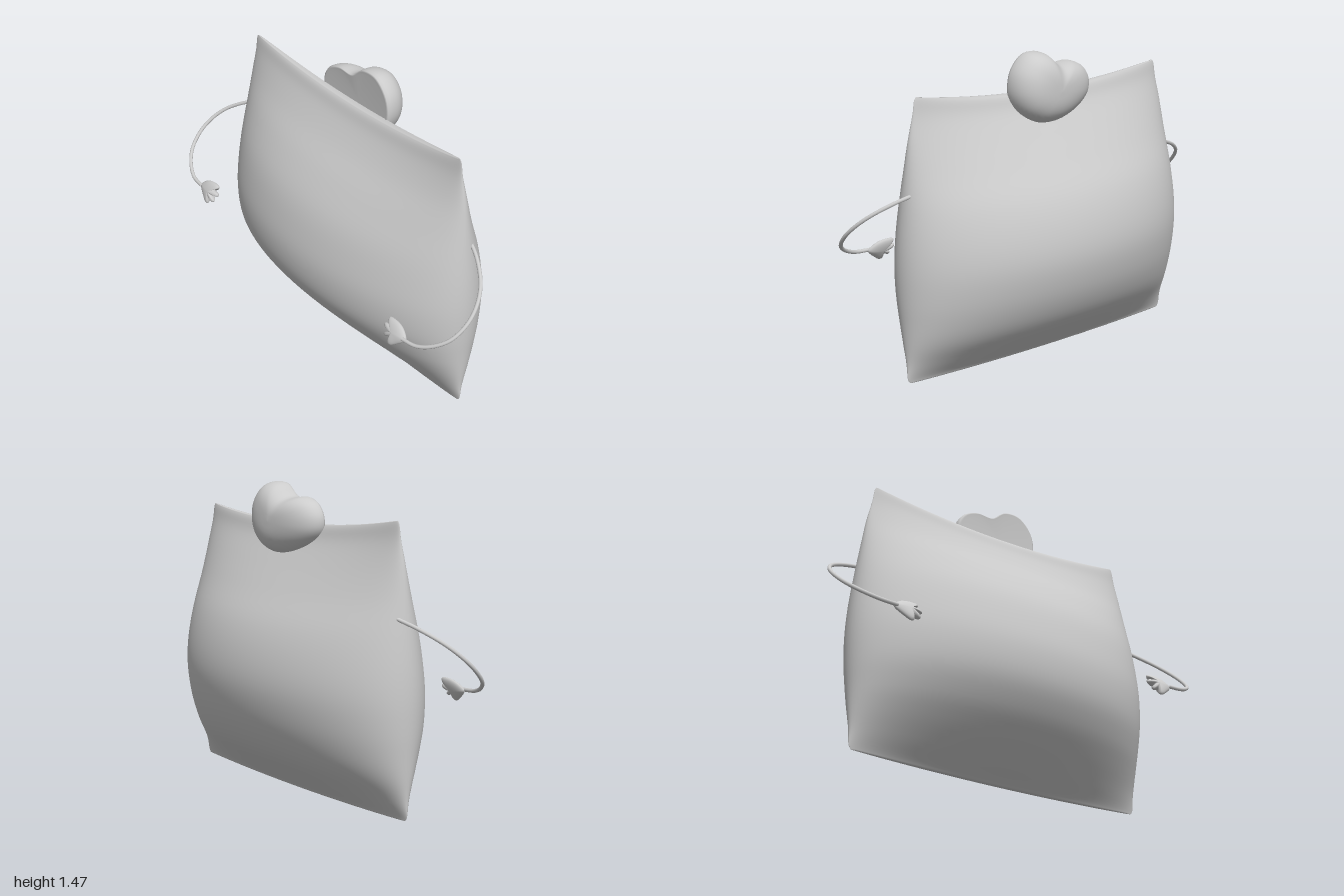
import * as THREE from 'three';

const material = new THREE.MeshStandardMaterial({ color: 0xcccccc });

// Skin a list of closed rings (arrays of Vector3) with smooth normals
function loft(rings) {
  const n = rings[0].length, index = [];
  for (let j = 0; j < rings.length - 1; j++) {
    for (let i = 0; i < n; i++) {
      const k = (i + 1) % n;
      const a = j * n + i, b = j * n + k, c = b + n, d = a + n;
      index.push(a, d, c, a, c, b);
    }
  }
  const geometry = new THREE.BufferGeometry().setFromPoints(rings.flat());
  geometry.setIndex(index);
  geometry.computeVertexNormals();
  return geometry;
}

function part(name, geometry) {
  const mesh = new THREE.Mesh(geometry, material);
  mesh.name = name;
  return mesh;
}

// Swell a counterclockwise outline: each layer is [scale, z], from front to back
function swell(outline, segments, layers, depth = () => 1) {
  const curve = new THREE.CatmullRomCurve3(outline.map(([x, y]) => new THREE.Vector3(x, y, 0)), true);
  const points = curve.getPoints(segments).slice(0, segments);
  return loft(layers.map(([s, z]) =>
    points.map(p => new THREE.Vector3(p.x * s, p.y * s, z * depth(p.x * s)))));
}

// Pillow: height, half width, front bulge, back bulge
const pillowRows = [
  [0.005, 0.775, 0.008, 0.008], [0.03, 0.788, 0.03, 0.03], [0.1, 0.79, 0.1, 0.11],
  [0.2, 0.797, 0.19, 0.215], [0.3, 0.803, 0.265, 0.285], [0.42, 0.81, 0.322, 0.335],
  [0.56, 0.812, 0.337, 0.36], [0.7, 0.805, 0.315, 0.345], [0.84, 0.79, 0.27, 0.295],
  [0.98, 0.77, 0.19, 0.205], [1.1, 0.75, 0.105, 0.125], [1.2, 0.725, 0.045, 0.06],
  [1.26, 0.715, 0.02, 0.035], [1.28, 0.705, 0.006, 0.022],
];

function pillowGeometry() {
  const curve = column => new THREE.CatmullRomCurve3(
    pillowRows.map(r => new THREE.Vector3(r[1], r[0], r[column])), false, 'catmullrom');
  const front = curve(2), back = curve(3), steps = 56, around = 96;
  const ring = (t, thickness) => {
    const f = front.getPoint(t), b = back.getPoint(t);
    return Array.from({ length: around }, (_, i) => {
      const angle = i / around * Math.PI * 2;
      const c = Math.cos(angle), s = Math.sin(angle);
      // top and bottom seams rise towards the corners
      const lift = 0.055 * THREE.MathUtils.smoothstep(f.y, 0.7, 1.28)
        + 0.015 * (1 - THREE.MathUtils.smoothstep(f.y, 0, 0.3));
      return new THREE.Vector3(0.01 + f.x * c, f.y + lift * c * c, (s > 0 ? f.z : b.z) * s * thickness);
    });
  };
  const rings = [ring(0, 0)];
  for (let j = 0; j <= steps; j++) rings.push(ring(j / steps, 1));
  rings.push(ring(1, 0));
  return loft(rings);
}

// Kidney-shaped lump behind the top seam, flat in front and domed at the back
function lumpGeometry() {
  const outline = [
    [0.205, 0], [0.19, 0.1], [0.12, 0.172], [0.03, 0.172], [-0.05, 0.115], [-0.14, 0.115],
    [-0.21, 0.085], [-0.247, 0.03], [-0.245, -0.03], [-0.2, -0.085], [-0.11, -0.135],
    [-0.01, -0.157], [0.09, -0.145], [0.17, -0.085],
  ];
  const layers = [[0, 0], [0.85, 0], [0.94, 0.006], [0.98, 0.002], [1, -0.012]];
  for (let i = 1; i <= 14; i++) {
    const a = i / 14 * Math.PI / 2;
    layers.push([Math.cos(a) ** 0.75, -0.012 - 0.146 * Math.sin(a) ** 0.85]);
  }
  return swell(outline, 72, layers, x => 0.92 + 0.6 * THREE.MathUtils.clamp(x, -0.25, 0.13));
}

// Small hand with three fingers and a thumb, pointing inwards
function handGeometry(side) {
  let outline = [
    [0.074, 0.012], [0.04, 0.043], [0, 0.056], [-0.05, 0.053], [-0.052, 0.042], [-0.026, 0.025],
    [-0.064, 0.016], [-0.064, 0.003], [-0.028, -0.006], [-0.05, -0.028], [-0.042, -0.038],
    [-0.014, -0.03], [-0.01, -0.058], [0.004, -0.06], [0.035, -0.038], [0.074, 0],
  ].map(([x, y]) => [x * side, y]);
  if (side < 0) outline = outline.reverse();
  const layers = [];
  for (let i = 0; i <= 12; i++) {
    const a = i / 12 * Math.PI;
    layers.push([Math.sin(a), 0.02 * Math.cos(a)]);
  }
  return swell(outline, 80, layers);
}

// Thin arm bowing outwards in a sloping plane
function armGeometry(side) {
  const path = [[0.75, 0.92], [0.84, 0.885], [0.93, 0.83], [0.975, 0.775], [0.99, 0.715],
    [0.968, 0.65], [0.91, 0.603], [0.84, 0.575], [0.76, 0.567]];
  const curve = new THREE.CatmullRomCurve3(path.map(([x, y]) =>
    new THREE.Vector3(x * side, y, -0.03 + (0.905 - y) * 1.1)));
  return new THREE.TubeGeometry(curve, 64, 0.009, 10);
}

export function createModel() {
  const model = new THREE.Group();
  model.name = 'pillowFigure';
  model.add(part('pillowBody', pillowGeometry()));

  const lump = part('backLump', lumpGeometry());
  lump.position.set(0.03, 1.293, -0.024);
  model.add(lump);

  for (const [label, side] of [['left', 1], ['right', -1]]) {
    const arm = new THREE.Group();
    arm.name = label + 'Arm';
    const hand = part(label + 'Hand', handGeometry(side));
    hand.position.set(0.7 * side, 0.56, 0.335);
    hand.rotation.x = -0.45;
    arm.add(part(label + 'ArmTube', armGeometry(side)), hand);
    model.add(arm);
  }
  return model;
}
